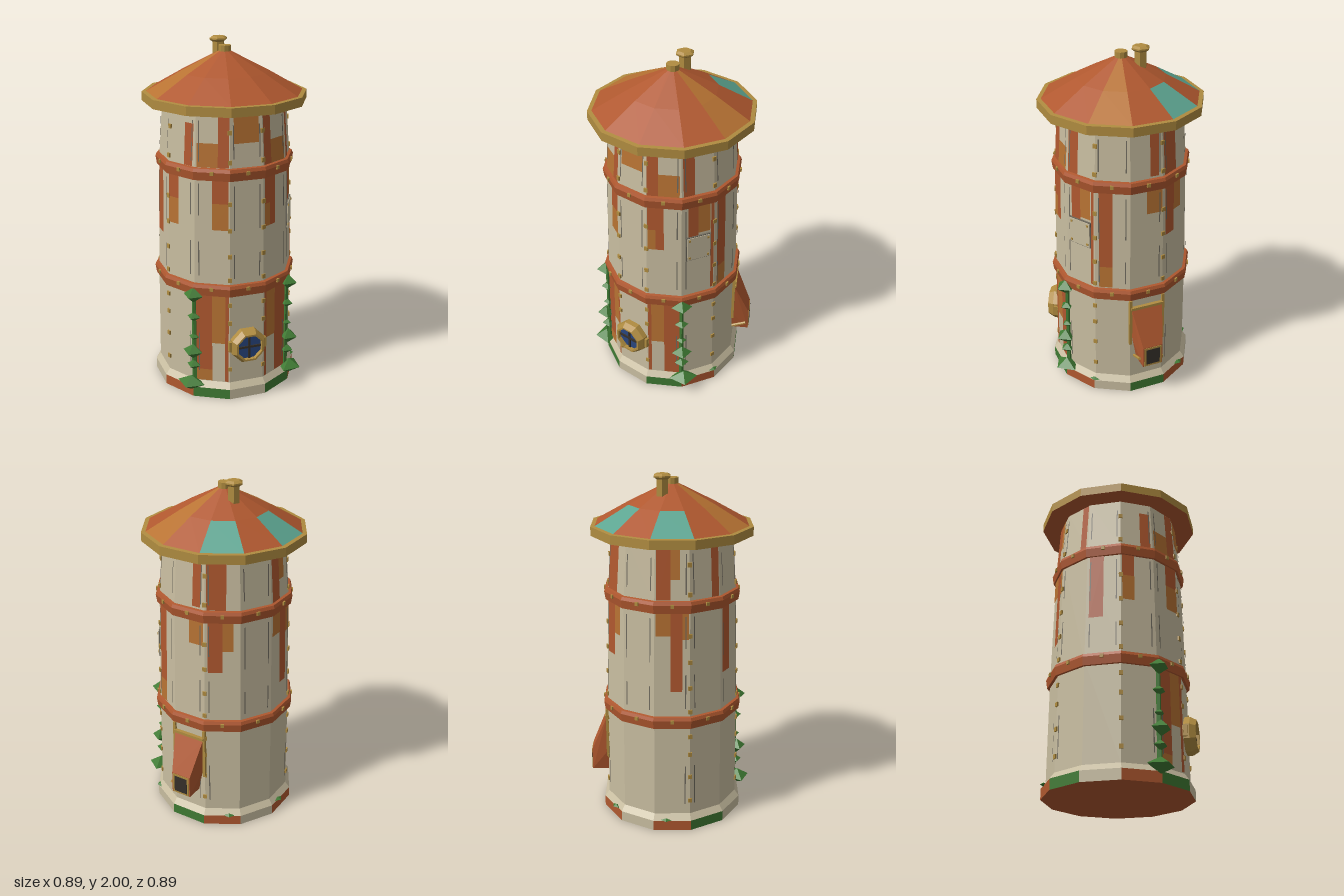
import * as THREE from 'three';
import { mergeGeometries } from 'three/addons/utils/BufferGeometryUtils.js';
import { ConvexGeometry } from 'three/addons/geometries/ConvexGeometry.js';

const mat = (name, color, side = THREE.FrontSide) => {
  const m = new THREE.MeshStandardMaterial({ color, side });
  m.name = name;
  return m;
};
const cream = mat('cream plaster', 0xc8bda0);
const rust = mat('rust', 0xb0582f);
const orange = mat('orange rust', 0xb87333);
const gold = mat('brass', 0xb08c40);
const teal = mat('verdigris', 0x5da591);
const green = mat('leaf green', 0x3f7a33);
const navy = mat('window blue', 0x28457f);
const dark = mat('dark iron', 0x35302a);
const grey = mat('seam grey', 0x6f6a5e);

const V = (x, y, z) => new THREE.Vector3(x, y, z);
const rad = THREE.MathUtils.degToRad;
const C15 = Math.cos(rad(15));

// flat normals, position and normal only, so parts can be merged
function flat(geo) {
  const g = geo.index ? geo.toNonIndexed() : geo;
  g.deleteAttribute('uv');
  g.clearGroups();
  g.computeVertexNormals();
  return g;
}

// twelve-sided turned shape; profile radii are measured to the face centres
function turned(profile, sides = 12) {
  const pts = profile.map(([r, y]) => new THREE.Vector2(r / Math.cos(Math.PI / sides), y));
  return flat(new THREE.LatheGeometry(pts, sides, Math.PI / sides));
}

// gives each quad of a turned shape a material: pick(faceAngle, ring) -> index
function paint(geo, rings, pick) {
  for (let i = 0; i < 12; i++)
    for (let j = 0; j < rings; j++)
      geo.addGroup((i * rings + j) * 6, 6, pick(((i + 1) * 30) % 360, j));
  return geo;
}

// wall distance from the axis at height y
const WALL = [[0.378, 0.09], [0.373, 0.67], [0.358, 1.34], [0.335, 1.68]];
function wall(y) {
  let k = 0;
  while (k < 2 && y > WALL[k + 1][1]) k++;
  const [a, b] = [WALL[k], WALL[k + 1]];
  return a[0] + (b[0] - a[0]) * (y - a[1]) / (b[1] - a[1]);
}

const box = (w, h, d, x, y, z, deg = 0) =>
  flat(new THREE.BoxGeometry(w, h, d)).translate(x, y, z).rotateY(rad(deg));

// thin painted quad on wall face deg, from u0 to u1 across the face
function patch(deg, u0, u1, y0, y1, lift = 0.004) {
  const z0 = wall(y0) + lift, z1 = wall(y1) + lift;
  const p = [u0, y0, z0, u1, y0, z0, u1, y1, z1, u0, y0, z0, u1, y1, z1, u0, y1, z1];
  const g = new THREE.BufferGeometry();
  g.setAttribute('position', new THREE.Float32BufferAttribute(p, 3));
  g.computeVertexNormals();
  return g.rotateY(rad(deg));
}

export function createModel() {
  const model = new THREE.Group();
  model.name = 'tower';
  const add = (name, geo, material) => {
    const m = new THREE.Mesh(Array.isArray(geo) ? mergeGeometries(geo) : geo, material);
    m.name = name;
    model.add(m);
  };

  // plinth: faces repeat cream, green, rust, mirrored left to right
  const plinth = turned([[0, 0], [0.403, 0], [0.403, 0.06], [0.378, 0.095]]);
  add('plinth', paint(plinth, 3, (a, j) => {
    if (j !== 1) return j === 0 ? 2 : 0;
    return (Math.min(a, 360 - a) / 30) % 3;
  }), [cream, green, rust]);

  add('wall', turned(WALL), cream);

  // hoops around the wall
  const hoop = (y, r) => turned([[r - 0.025, y - 0.035], [r - 0.007, y - 0.035], [r, y + 0.012], [r - 0.007, y + 0.03], [r - 0.035, y + 0.035]]);
  add('hoops', [hoop(1.335, 0.379), hoop(0.67, 0.395)], rust);

  // rust stains
  const rustSpots = [
    [330, -0.095, 0, 0.17, 0.635], [30, 0, 0.095, 0.1, 0.635],
    [330, 0.075, 0.095, 0.1, 0.635], [30, -0.095, -0.075, 0.1, 0.635],
    [330, 0, 0.09, 1.17, 1.3], [30, -0.09, 0, 1.15, 1.3], [30, -0.045, 0, 1.02, 1.15],
    [330, 0.03, 0.09, 1.37, 1.66], [30, -0.09, -0.03, 1.37, 1.66],
    [300, -0.09, -0.02, 1.17, 1.3], [60, -0.06, 0, 1.02, 1.3], [60, -0.085, -0.02, 1.37, 1.66],
    [60, 0.075, 0.093, 0.72, 1.3], [90, -0.075, 0, 0.84, 1.3],
    [120, 0.02, 0.07, 1.38, 1.64], [150, -0.085, 0.02, 1.37, 1.66], [150, -0.08, 0, 1.0, 1.3],
    [210, -0.085, -0.01, 1.37, 1.66], [210, -0.01, 0.055, 0.85, 1.3], [240, 0.04, 0.085, 1.37, 1.66],
    [270, -0.08, 0, 0.92, 1.3], [300, 0.02, 0.08, 1.37, 1.6],
  ];
  const orangeSpots = [
    [330, 0, 0.075, 0.34, 0.635], [30, -0.075, 0, 0.34, 0.635], [330, -0.095, 0, 0.1, 0.17],
    [0, -0.07, 0.07, 1.5, 1.66], [330, -0.085, 0.03, 1.37, 1.5], [30, -0.03, 0.085, 1.37, 1.5],
    [330, 0, 0.09, 1.02, 1.17], [30, -0.09, -0.045, 1.02, 1.15], [300, -0.09, -0.02, 1.02, 1.17],
    [60, 0, 0.07, 1.12, 1.3], [90, -0.075, 0, 0.71, 0.84],
    [120, 0, 0.09, 1.16, 1.3], [150, 0, 0.06, 1.13, 1.3], [210, -0.01, 0.04, 1.48, 1.66],
    [210, -0.09, -0.01, 1.17, 1.3], [210, 0.055, 0.09, 1.15, 1.3],
  ];
  add('rustStains', rustSpots.map(s => patch(...s)), rust);
  add('orangeStains', orangeSpots.map(s => patch(...s)), orange);

  // plate seams: broken thin lines beside the corners
  const seams = [];
  for (let a = 0; a < 360; a += 90)
    for (const s of [-1, 1]) {
      const u = s * 0.074;
      for (const [y0, y1] of [[1.42, 1.6], [1.02, 1.27], [0.74, 0.88]])
        seams.push(patch(a, u - 0.003, u + 0.003, y0, y1, 0.007));
      for (const [y0, y1] of [[1.4, 1.62], [1.1, 1.28], [0.75, 0.95], [0.16, 0.4]])
        seams.push(patch(a + s * 60, -u - 0.003, -u + 0.003, y0, y1, 0.007));
    }
  add('seams', seams, grey);

  // rivets up the corners and around the hoops
  const rivets = [];
  for (const a of [15, 75, 135, 225, 285, 345])
    for (const y of [0.18, 0.33, 0.47, 0.58, 0.73, 0.87, 1.02, 1.17, 1.4, 1.56])
      rivets.push(box(0.022, 0.024, 0.012, 0, y, wall(y) / C15, a));
  for (let a = 0; a < 360; a += 30)
    for (const [y, r] of [[1.342, 0.379], [0.678, 0.395]])
      rivets.push(box(0.02, 0.02, 0.014, 0, y, r, a));
  // access panel on the front left wall
  add('panelRim', box(0.148, 0.158, 0.012, 0, 1.025, 0.367, 60), grey);
  add('panel', box(0.138, 0.148, 0.016, 0, 1.025, 0.369, 60), cream);
  for (const u of [-0.055, 0.055])
    for (const y of [0.967, 1.083]) rivets.push(box(0.012, 0.012, 0.01, u, y, 0.376, 60));
  add('rivets', rivets, gold);

  // eave and roof
  add('eave', paint(turned([[0, 1.665], [0.444, 1.665], [0.444, 1.715], [0.42, 1.717]]), 3,
    (a, j) => (j === 0 ? 0 : 1)), [rust, gold]);
  add('roof', paint(turned([[0.424, 1.715], [0.237, 1.825], [0.03, 1.935]]), 2, (a, j) => {
    if (a === 90 || a === 270) return 1;
    return j === 0 && (a === 150 || a === 210) ? 2 : 0;
  }), [rust, orange, teal]);
  add('finial', turned([[0.034, 1.91], [0.034, 1.965], [0, 1.965]], 10), gold);
  add('chimney', [
    turned([[0.03, 1.83], [0.03, 1.98]], 6),
    turned([[0, 1.97], [0.03, 1.97], [0.045, 1.982], [0.045, 1.99], [0.03, 2], [0, 2]], 6),
  ].map(g => g.translate(0, 0, -0.105)), gold);

  // porthole
  const ring = turned([[0.097, 0], [0.097, 0.035], [0.08, 0.068], [0.07, 0.068], [0.07, 0]], 8);
  ring.rotateX(Math.PI / 2).translate(0, 0.33, 0.373);
  add('portholeRing', [ring, box(0.024, 0.06, 0.03, -0.1, 0.33, 0.385), box(0.024, 0.06, 0.03, 0.1, 0.33, 0.385)], gold);
  const glass = turned([[0.072, 0], [0.072, 0.045], [0, 0.045]], 8);
  add('portholeGlass', glass.rotateX(Math.PI / 2).translate(0, 0.33, 0.373), navy);
  add('portholeBars', [box(0.012, 0.14, 0.012, 0, 0.33, 0.42), box(0.14, 0.012, 0.012, 0, 0.33, 0.42)], dark);

  // chute hood on the rear left wall
  const hull = [];
  for (const s of [-1, 1])
    hull.push(V(s * 0.095, 0.57, 0.36), V(s * 0.095, 0.57, 0.385), V(s * 0.09, 0.38, 0.36),
      V(s * 0.06, 0.22, 0.36), V(s * 0.06, 0.22, 0.477), V(s * 0.06, 0.35, 0.477));
  add('hood', flat(new ConvexGeometry(hull)).rotateY(rad(120)), rust);
  add('hoodFrame', [
    box(0.016, 0.3, 0.016, -0.1, 0.48, 0.38, 120), box(0.016, 0.3, 0.016, 0.1, 0.48, 0.38, 120),
    box(0.2, 0.016, 0.03, 0, 0.575, 0.38, 120), box(0.108, 0.124, 0.006, 0, 0.285, 0.477, 120),
    flat(new THREE.CylinderGeometry(0.009, 0.009, 0.1, 6)).rotateX(1.2).translate(-0.075, 0.255, 0.415).rotateY(rad(120)),
  ], gold);
  add('hoodOpening', box(0.084, 0.1, 0.008, 0, 0.285, 0.478, 120), dark);

  // climbing vines on the front corners: stem with faceted leaves
  const leaves = [];
  const leaf = (a, y, w, h, d, r, u = 0) =>
    leaves.push(flat(new THREE.OctahedronGeometry(1)).scale(w, h, d).translate(u, y, r).rotateY(rad(a)));
  for (const a of [-45, 45]) {
    const s = Math.sign(a);
    leaves.push(flat(new THREE.CylinderGeometry(0.012, 0.016, 0.56, 5)).translate(0, 0.36, 0.395).rotateY(rad(a)));
    leaf(a, 0.09, 0.085, 0.045, 0.07, 0.42, s * 0.01);
    leaf(a, 0.2, 0.042, 0.03, 0.04, 0.405);
    leaf(a, 0.29, 0.06, 0.045, 0.055, 0.415);
    leaf(a, 0.375, 0.03, 0.022, 0.03, 0.4);
    leaf(a, 0.5, 0.04, 0.028, 0.038, 0.4);
    leaf(a, 0.635, 0.06, 0.045, 0.055, 0.405);
  }
  // moss tufts at the plinth
  for (const [a, u] of [[75, 0], [150, 0.04], [205, 0]]) leaf(a, 0.065, 0.032, 0.012, 0.02, 0.405, u);
  add('vines', leaves, green);

  return model;
}
